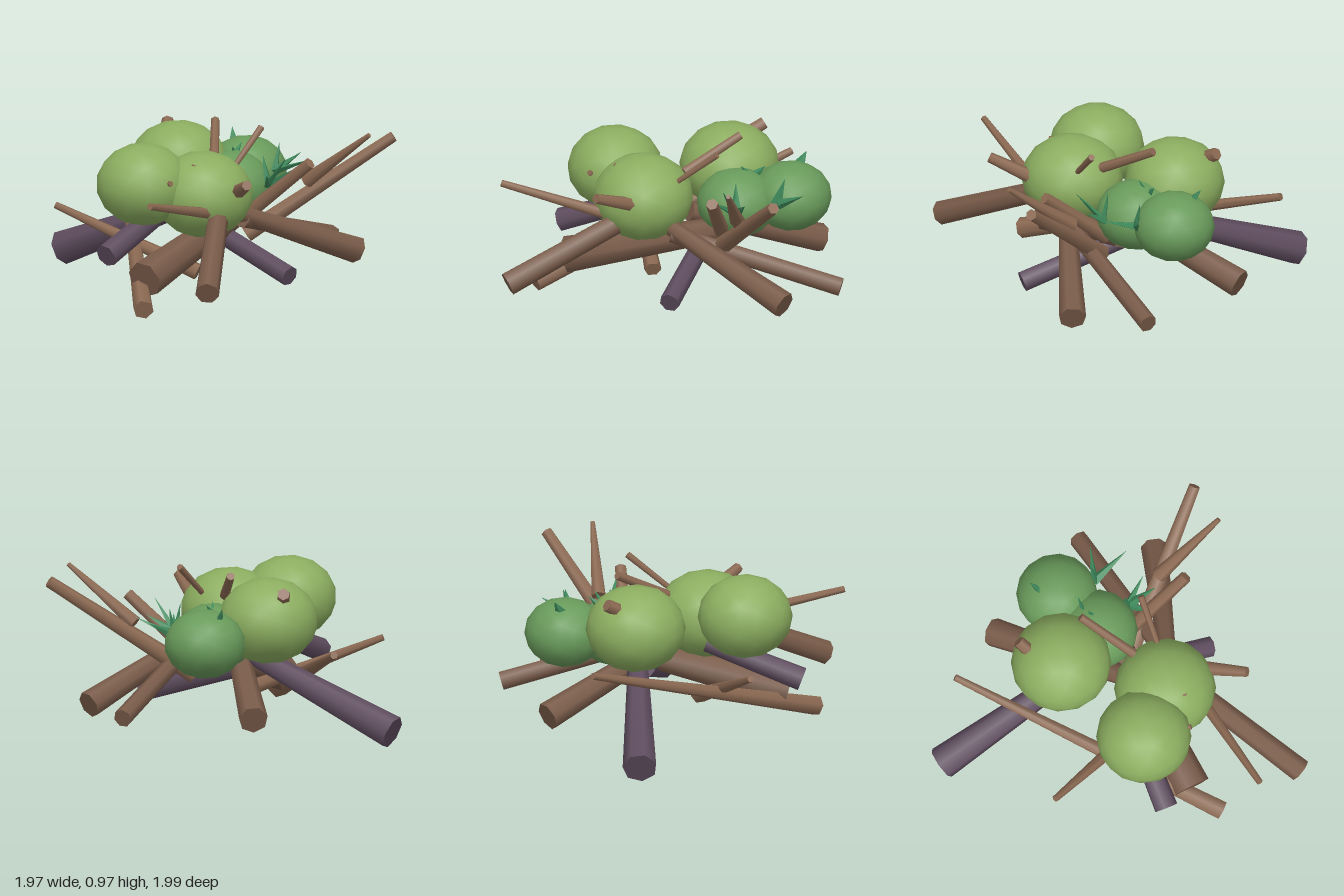
import * as THREE from 'three';
import { mergeVertices } from 'three/addons/utils/BufferGeometryUtils.js';

const bark = new THREE.MeshStandardMaterial({ color: 0x7a5c4a });
const darkBark = new THREE.MeshStandardMaterial({ color: 0x5f4d5f });
const paleBark = new THREE.MeshStandardMaterial({ color: 0x8c6a53 });
const lightGreen = new THREE.MeshStandardMaterial({ color: 0x8cae60 });
const midGreen = new THREE.MeshStandardMaterial({ color: 0x699b5b });
const leafGreen = new THREE.MeshStandardMaterial({ color: 0x3f8a5c, flatShading: true, side: THREE.DoubleSide });
const UP = new THREE.Vector3(0, 1, 0);

// Tapered cylinder running from point a (radius ra) to point b (radius rb)
function rod(name, a, b, ra, rb, sides, material) {
  const start = new THREE.Vector3(...a);
  const end = new THREE.Vector3(...b);
  const dir = end.clone().sub(start);
  const mesh = new THREE.Mesh(new THREE.CylinderGeometry(rb, ra, dir.length(), sides), material);
  mesh.position.copy(start).add(end).multiplyScalar(0.5);
  mesh.quaternion.setFromUnitVectors(UP, dir.normalize());
  mesh.name = name;
  return mesh;
}

// Smooth low-poly ball of foliage
function foliage(center, radii, material) {
  const geo = new THREE.IcosahedronGeometry(1, 2);
  geo.deleteAttribute('normal');
  geo.deleteAttribute('uv');
  const smooth = mergeVertices(geo, 1e-3);
  smooth.scale(...radii);
  smooth.computeVertexNormals();
  const mesh = new THREE.Mesh(smooth, material);
  mesh.position.set(...center);
  mesh.name = 'foliageBall';
  return mesh;
}

export function createModel() {
  const model = new THREE.Group();

  // Thick logs: outer end, inner end, outer radius, inner radius
  const logs = [
    [[0, 0.1, -0.96], [0.14, 0.5, 0], 0.1, 0.055, darkBark],
    [[0.09, 0.16, 0.74], [0.1, 0.38, 0.05], 0.06, 0.055, darkBark],
    [[-0.69, 0.2, 0.32], [0.3, 0.46, 0.2], 0.11, 0.07, bark],
    [[0.61, 0.21, -0.41], [0.0, 0.5, 0.15], 0.085, 0.06, bark],
    [[0.97, 0.2, 0.26], [0, 0.47, 0.45], 0.055, 0.05, bark],
    [[0.76, 0.2, 0.65], [0, 0.5, 0.44], 0.08, 0.05, bark],
    [[-0.83, 0.23, 0.94], [-0.2, 0.59, 0.46], 0.07, 0.06, bark],
    [[-0.8, 0.33, 0.12], [-0.25, 0.54, 0.1], 0.07, 0.06, darkBark],
  ];
  const logPile = new THREE.Group();
  logPile.name = 'logPile';
  for (const [a, b, ra, rb, mat] of logs) logPile.add(rod('log', a, b, ra, rb, 7, mat));
  model.add(logPile);

  // Thinner sticks and cut stubs: thick end, tip, radii
  const sticks = [
    [[-0.84, 0.065, 0.45], [0.3, 0.58, -0.76], 0.06, 0.022],
    [[-0.18, 0.16, 0.27], [-0.58, 0.51, -0.48], 0.05, 0.02],
    [[-0.28, 0.55, 0.51], [-0.98, 0.72, 0.63], 0.035, 0.02],
    [[0.2, 0.33, 0.3], [0.79, 0.9, 0.91], 0.055, 0.035],
    [[0.44, 0.64, 0.55], [0.53, 0.955, 0.96], 0.045, 0.014],
    [[0.25, 0.45, 0.28], [0.33, 0.78, 0.68], 0.045, 0.035],
    [[0, 0.76, 0.38], [0.25, 0.96, 0.37], 0.016, 0.02],
    [[0, 0.77, 0.23], [0.26, 0.95, 0], 0.03, 0.025],
    [[-0.17, 0.66, 0.55], [-0.34, 0.77, 0.8], 0.045, 0.03],
    [[0.14, 0.8, -0.29], [0.27, 0.89, -0.38], 0.045, 0.037],
    [[-0.33, 0.76, 0.39], [-0.355, 0.84, 0.405], 0.02, 0.018],
    [[-0.51, 0.73, 0.3], [-0.53, 0.75, 0.38], 0.02, 0.016],
  ];
  const stickGroup = new THREE.Group();
  stickGroup.name = 'sticks';
  for (const [a, b, ra, rb] of sticks) stickGroup.add(rod('stick', a, b, ra, rb, 6, paleBark));
  model.add(stickGroup);

  // Flattened foliage balls resting on the pile
  const balls = [
    [[-0.47, 0.7, 0.11], [0.275, 0.24, 0.275], lightGreen],
    [[-0.215, 0.635, 0.34], [0.29, 0.25, 0.295], lightGreen],
    [[0.13, 0.69, -0.17], [0.29, 0.25, 0.29], lightGreen],
    [[0.28, 0.58, 0.11], [0.235, 0.2, 0.235], midGreen],
    [[0.56, 0.605, -0.03], [0.235, 0.2, 0.235], midGreen],
  ];
  for (const [c, r, mat] of balls) model.add(foliage(c, r, mat));

  // Tufts of pointed leaves: one root and several tips
  const tufts = [
    [[0.55, 0.63, 0.2], [[0.73, 0.72, 0.24], [0.62, 0.72, 0.42], [0.6, 0.79, 0.19]]],
    [[0.35, 0.6, 0.33], [[0.45, 0.7, 0.46], [0.33, 0.78, 0.49], [0.34, 0.77, 0.3], [0.24, 0.68, 0.42]]],
    [[0.35, 0.72, 0.06], [[0.43, 0.8, 0.05], [0.3, 0.8, 0.1]]],
    [[0.57, 0.76, -0.14], [[0.6, 0.83, -0.18]]],
  ];
  for (const [root, tips] of tufts) {
    const tuft = new THREE.Group();
    tuft.name = 'leafTuft';
    for (const tip of tips) {
      const leaf = rod('leaf', root, tip, 0.035, 0.001, 4, leafGreen);
      leaf.scale.z = 0.6;
      tuft.add(leaf);
    }
    model.add(tuft);
  }
  return model;
}
